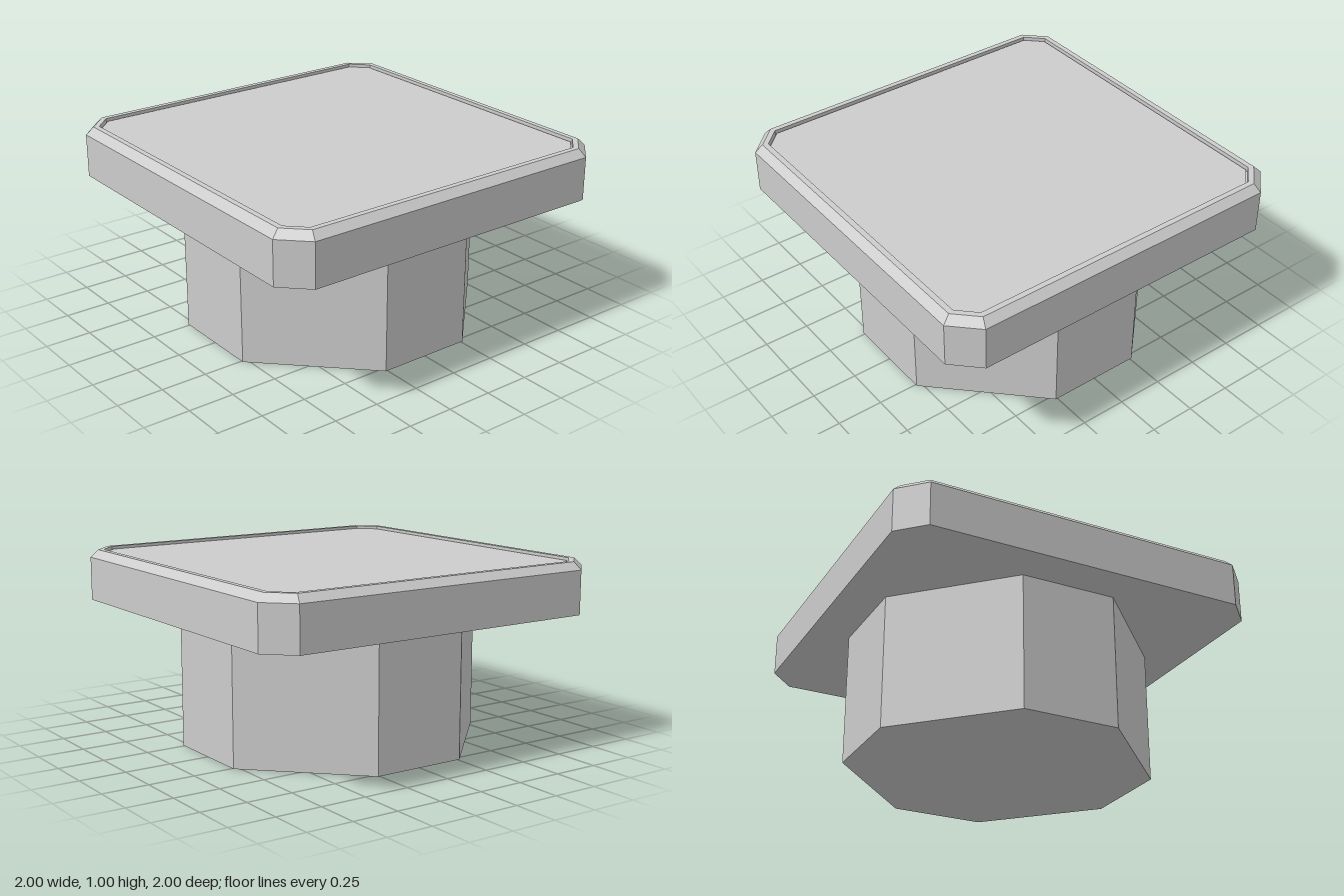
import * as THREE from 'three';

// Square outline with cut corners, counter-clockwise seen from above
function ring([half, cut, y]) {
  const a = half, b = half - cut;
  return [[a, b], [a, -b], [b, -a], [-b, -a], [-a, -b], [-a, b], [-b, a], [b, a]]
    .map(([x, z]) => new THREE.Vector3(x, y, z));
}

// Skin a list of rings [half width, corner cut, height], closing both ends
function loft(profile) {
  const rings = profile.map(ring), p = [];
  const tri = (...v) => v.forEach((q) => p.push(q.x, q.y, q.z));
  for (let r = 0; r + 1 < rings.length; r++) {
    const lo = rings[r], hi = rings[r + 1];
    for (let i = 0; i < 8; i++) {
      const j = (i + 1) % 8;
      tri(lo[i], lo[j], hi[j]);
      tri(lo[i], hi[j], hi[i]);
    }
  }
  const first = rings[0], last = rings[rings.length - 1];
  for (let i = 1; i < 7; i++) {
    tri(first[0], first[i + 1], first[i]);
    tri(last[0], last[i], last[i + 1]);
  }
  const g = new THREE.BufferGeometry();
  g.setAttribute('position', new THREE.Float32BufferAttribute(p, 3));
  g.computeVertexNormals();
  return g;
}

export function createModel() {
  const grey = new THREE.MeshStandardMaterial({ name: 'light grey', color: 0xcccccc, flatShading: true });
  const group = new THREE.Group();
  const add = (name, profile) => {
    const mesh = new THREE.Mesh(loft(profile), grey);
    mesh.name = name;
    group.add(mesh);
  };

  // Eight-sided pedestal
  add('pedestal', [[0.78, 0.52, 0], [0.78, 0.52, 0.725]]);

  // Slab with bevelled rim, narrow groove and inset top panel
  add('topSlab', [
    [1, 0.135, 0.725], [1, 0.135, 0.96], [0.96, 0.11, 1],
    [0.93, 0.09, 1], [0.93, 0.09, 0.97], [0.922, 0.087, 0.97], [0.922, 0.087, 0.985],
  ]);
  return group;
}
